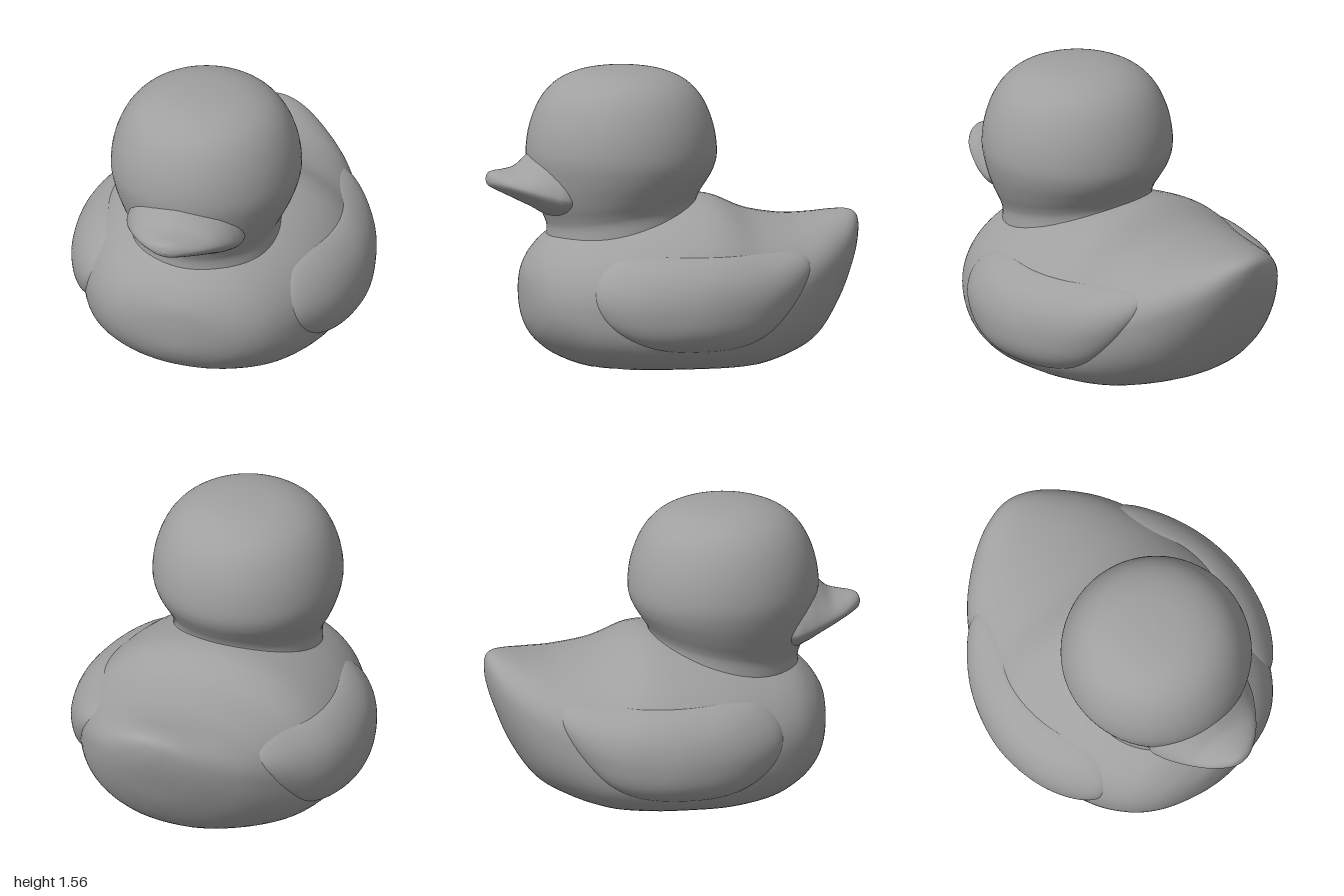
import * as THREE from 'three';
import { mergeVertices } from 'three/addons/utils/BufferGeometryUtils.js';

const grey = new THREE.MeshStandardMaterial({ color: 0xa0a0a0 });
grey.name = 'plain grey';

// Smooth surface from a list of closed rings of equal length
function skin(rings) {
  const n = rings[0].length, index = [];
  for (let i = 0; i < rings.length - 1; i++) {
    for (let j = 0; j < n; j++) {
      const a = i * n + j, b = i * n + ((j + 1) % n);
      index.push(a, a + n, b, b, a + n, b + n);
    }
  }
  const g = new THREE.BufferGeometry();
  g.setAttribute('position', new THREE.Float32BufferAttribute(rings.flat(2), 3));
  g.setIndex(index);
  const merged = mergeVertices(g, 1e-5);
  merged.computeVertexNormals();
  return merged;
}

// Smooth interpolation of section rows: [z, bottom, middle, top, halfWidth, topPower, bottomPower]
function sections(rows) {
  const f = new THREE.CubicInterpolant(rows.map((_, i) => i), rows.flat(), 7);
  return (u) => Array.from(f.evaluate(u));
}

// Superellipse sections lofted along z
function loft(rows, floor = -Infinity, steps = 5, n = 64) {
  const at = sections(rows), rings = [], last = rows.length - 1;
  for (let k = 0; k <= last * steps; k++) {
    const [z, bottom, mid, top, w, pt, pb] = at(k / steps);
    const ring = [];
    for (let j = 0; j < n; j++) {
      const a = (j / n) * Math.PI * 2, c = Math.cos(a), s = Math.sin(a);
      const p = s >= 0 ? pt : pb, h = s >= 0 ? top - mid : mid - bottom;
      const x = w * Math.sign(c) * Math.abs(c) ** (2 / p);
      const y = mid + h * Math.sign(s) * Math.abs(s) ** (2 / p);
      ring.push([x, Math.max(y, floor), z]);
    }
    rings.push(ring);
  }
  return skin(rings);
}

const bodyRows = [
  [0.81, 0.37, 0.37, 0.37, 0, 2, 2],
  [0.8, 0.25, 0.37, 0.48, 0.13, 2, 2],
  [0.77, 0.17, 0.36, 0.55, 0.27, 2, 2],
  [0.72, 0.105, 0.35, 0.62, 0.39, 2, 2.1],
  [0.63, 0.04, 0.34, 0.7, 0.5, 2, 2.3],
  [0.48, -0.01, 0.33, 0.76, 0.6, 2, 2.7],
  [0.25, -0.03, 0.33, 0.82, 0.69, 2, 3],
  [0, -0.03, 0.33, 0.86, 0.73, 2, 3],
  [-0.2, -0.03, 0.34, 0.865, 0.715, 2, 3],
  [-0.4, -0.02, 0.36, 0.785, 0.665, 2, 2.8],
  [-0.6, 0.03, 0.42, 0.748, 0.565, 2.1, 2.5],
  [-0.75, 0.11, 0.49, 0.75, 0.46, 2.1, 2.2],
  [-0.87, 0.28, 0.56, 0.765, 0.33, 2, 2],
  [-0.95, 0.47, 0.63, 0.765, 0.2, 2, 2],
  [-0.99, 0.6, 0.68, 0.74, 0.08, 2, 2],
  [-1, 0.68, 0.68, 0.68, 0, 2, 2],
];

const beakRows = [
  [1, 0.975, 0.975, 0.975, 0, 2, 2],
  [0.985, 0.945, 0.975, 1.012, 0.06, 2, 2],
  [0.95, 0.925, 0.97, 1.025, 0.115, 1.9, 1.9],
  [0.9, 0.9, 0.96, 1.03, 0.17, 1.8, 1.8],
  [0.83, 0.865, 0.945, 1.05, 0.225, 1.7, 1.8],
  [0.76, 0.83, 0.93, 1.12, 0.27, 1.6, 1.8],
  [0.69, 0.79, 0.915, 1.19, 0.305, 1.6, 1.8],
  [0.6, 0.76, 0.9, 1.2, 0.32, 1.7, 1.8],
  [0.4, 0.78, 0.9, 1.1, 0.25, 2, 2],
  [0.3, 0.9, 0.9, 0.9, 0, 2, 2],
];

// Half width of the body at a given height and depth
const bodyAt = sections(bodyRows);
function bodyX(y, z) {
  let lo = 0, hi = bodyRows.length - 1;
  for (let i = 0; i < 24; i++) {
    const m = (lo + hi) / 2;
    if (bodyAt(m)[0] > z) lo = m; else hi = m;
  }
  const [, bottom, mid, top, w, pt, pb] = bodyAt(lo);
  const up = y > mid, p = up ? pt : pb;
  const t = Math.min(1, up ? (y - mid) / (top - mid) : (mid - y) / (mid - bottom));
  return w * (1 - t ** p) ** (1 / p);
}

// Wing: a low dome that follows the flank of the body
function wing(side) {
  const outline = [
    [0.52, 0.4], [0.5, 0.5], [0.41, 0.59], [0.28, 0.62], [0, 0.62], [-0.3, 0.62], [-0.55, 0.615],
    [-0.635, 0.59], [-0.65, 0.54], [-0.6, 0.43], [-0.5, 0.3], [-0.4, 0.21], [-0.25, 0.145],
    [0, 0.125], [0.2, 0.14], [0.36, 0.2], [0.47, 0.29],
  ].map(([z, y]) => new THREE.Vector3(0, y, z));
  if (side < 0) outline.reverse();
  const edge = new THREE.CatmullRomCurve3(outline, true).getPoints(80).slice(0, 80);
  const rings = [], steps = 20;
  for (let i = 0; i <= steps; i++) {
    const s = Math.cos((i / steps) * Math.PI / 2);
    const r = i === steps ? 0 : s;
    rings.push(edge.map((p) => {
      const y = 0.4 + (p.y - 0.4) * r, z = -0.02 + (p.z + 0.02) * r;
      return [side * (bodyX(y, z) - 0.012 + 0.085 * Math.sqrt(1 - r ** 3)), y, z];
    }));
  }
  return skin(rings);
}

// Head: turned profile whose neck is tilted down toward the front
function head() {
  const profile = new THREE.SplineCurve([
    [0.4, 0.62], [0.398, 0.7], [0.395, 0.78], [0.41, 0.83], [0.445, 0.9], [0.485, 1], [0.505, 1.11],
    [0.487, 1.25], [0.435, 1.38], [0.36, 1.47], [0.26, 1.525], [0.14, 1.552], [0, 1.56],
  ].map(([r, y]) => new THREE.Vector2(r, y)));
  const pts = profile.getPoints(60);
  pts[60].x = 0;
  let g = new THREE.LatheGeometry(pts, 64);
  g.deleteAttribute('uv');
  g.deleteAttribute('normal');
  g = mergeVertices(g, 1e-5);
  const pos = g.attributes.position;
  for (let i = 0; i < pos.count; i++) {
    const tilt = 1 - THREE.MathUtils.smoothstep(pos.getY(i), 0.78, 1.1);
    pos.setY(i, pos.getY(i) - pos.getZ(i) * 0.17 * tilt);
  }
  g.translate(0, 0, 0.27);
  g.computeVertexNormals();
  return g;
}

export function createModel() {
  const duck = new THREE.Group();
  duck.name = 'bathDuck';
  const add = (name, geometry) => {
    const mesh = new THREE.Mesh(geometry, grey);
    mesh.name = name;
    duck.add(mesh);
    return mesh;
  };
  add('body', loft(bodyRows, 0));
  add('head', head());
  add('beak', loft(beakRows));
  add('leftWing', wing(1));
  add('rightWing', wing(-1));

  // Small air hole rim under the base
  const rim = add('airHoleRim', new THREE.TorusGeometry(0.024, 0.007, 8, 24));
  rim.rotation.x = Math.PI / 2;
  rim.position.y = 0.004;
  return duck;
}
